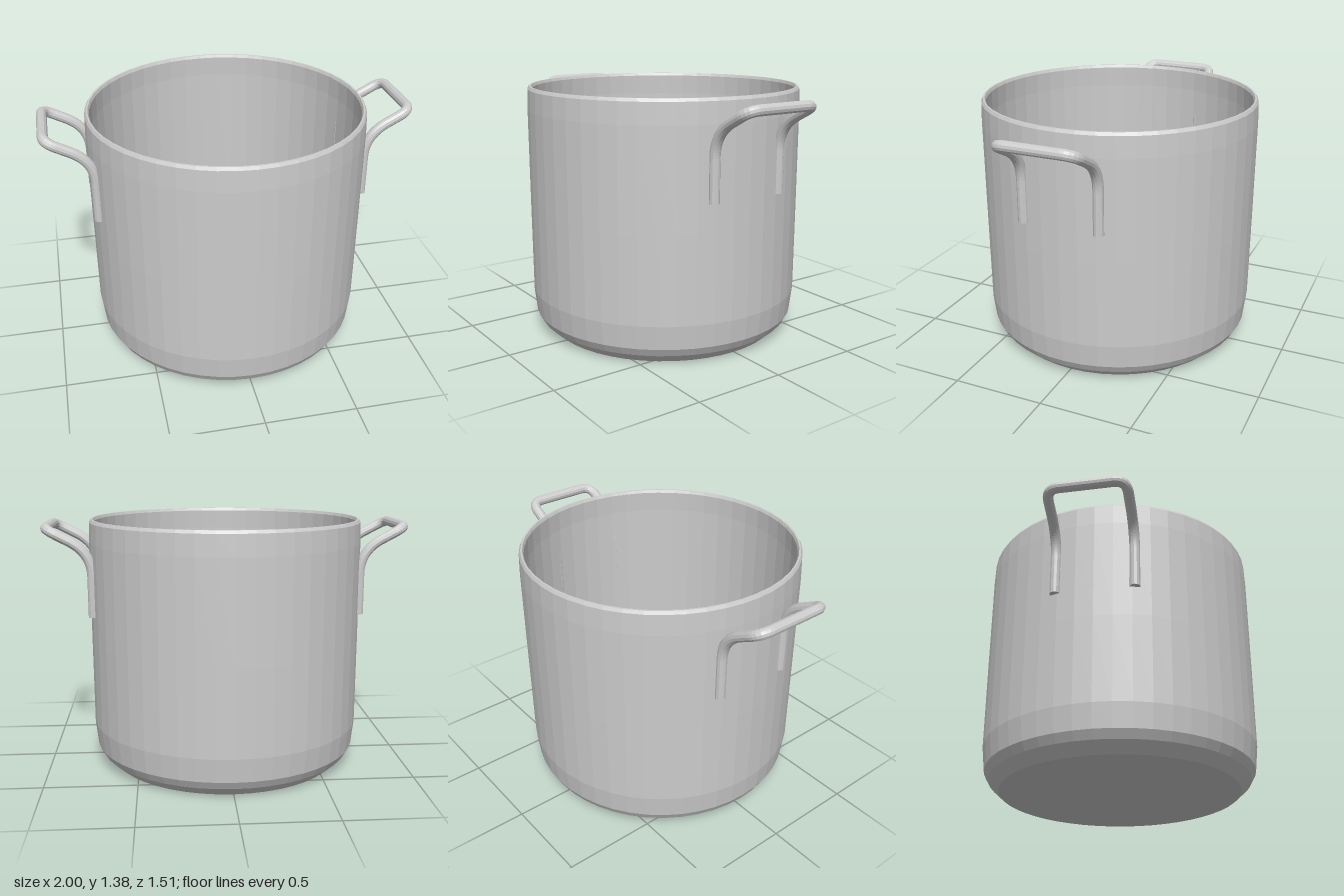
import * as THREE from 'three';

const V = (x, y, z) => new THREE.Vector3(x, y, z);

function material(double = false) {
  return new THREE.MeshStandardMaterial({
    color: 0xcccccc, flatShading: true, side: double ? THREE.DoubleSide : THREE.FrontSide,
  });
}

// Pot shell: base, rounded foot, wall, rolled rim, then back down inside to the floor
function createPot() {
  const profile = [
    [0, 0], [0.655, 0], [0.715, 0.055], [0.74, 0.1], [0.755, 0.23], [0.756, 0.7],
    [0.756, 1.25], [0.752, 1.362], [0.743, 1.378], [0.733, 1.378], [0.726, 1.362],
    [0.731, 1.25], [0.731, 0.23], [0.715, 0.11], [0.69, 0.07], [0.63, 0.025], [0, 0.025],
  ].map(([r, y]) => new THREE.Vector2(r, y));
  const pot = new THREE.Mesh(new THREE.LatheGeometry(profile, 48), material(true));
  pot.name = 'potBody';
  return pot;
}

// One half of the handle path, from the welded end up to the grip corner
function legCurves(z) {
  const s = Math.sign(z);
  return [
    new THREE.LineCurve3(V(0.727, 0.86, z), V(0.727, 1.08, z)),
    new THREE.CubicBezierCurve3(V(0.727, 1.08, z), V(0.727, 1.19, z), V(0.79, 1.245, z), V(0.86, 1.279, z)),
    new THREE.LineCurve3(V(0.86, 1.279, z), V(0.91, 1.305, z)),
    new THREE.QuadraticBezierCurve3(V(0.91, 1.305, z), V(0.972, 1.338, z), V(0.972, 1.338, z - s * 0.065)),
  ];
}

function reversed(curve) {
  const c = curve.clone();
  if (c.isLineCurve3) [c.v1, c.v2] = [c.v2, c.v1];
  else if (c.isCubicBezierCurve3) [c.v0, c.v1, c.v2, c.v3] = [c.v3, c.v2, c.v1, c.v0];
  else [c.v0, c.v2] = [c.v2, c.v0];
  return c;
}

function createHandle(name) {
  const radius = 0.028, z = 0.209;
  const path = new THREE.CurvePath();
  legCurves(z).forEach((c) => path.add(c));
  path.add(new THREE.LineCurve3(V(0.972, 1.338, z - 0.065), V(0.972, 1.338, 0.065 - z)));
  legCurves(-z).reverse().forEach((c) => path.add(reversed(c)));

  const handle = new THREE.Group();
  handle.name = name;
  const bar = new THREE.Mesh(new THREE.TubeGeometry(path, 96, radius, 12), material());
  bar.name = 'handleBar';
  handle.add(bar);

  // Flat ends of the bent rod
  for (const side of [-1, 1]) {
    const end = new THREE.Mesh(new THREE.CircleGeometry(radius, 12), material());
    end.name = 'handleEnd';
    end.rotation.x = Math.PI / 2;
    end.position.set(0.727, 0.86, side * z);
    handle.add(end);
  }
  return handle;
}

export function createModel() {
  const model = new THREE.Group();
  model.name = 'stockPot';
  const left = createHandle('leftHandle');
  const right = createHandle('rightHandle');
  right.rotation.y = Math.PI;
  model.add(createPot(), left, right);
  return model;
}
